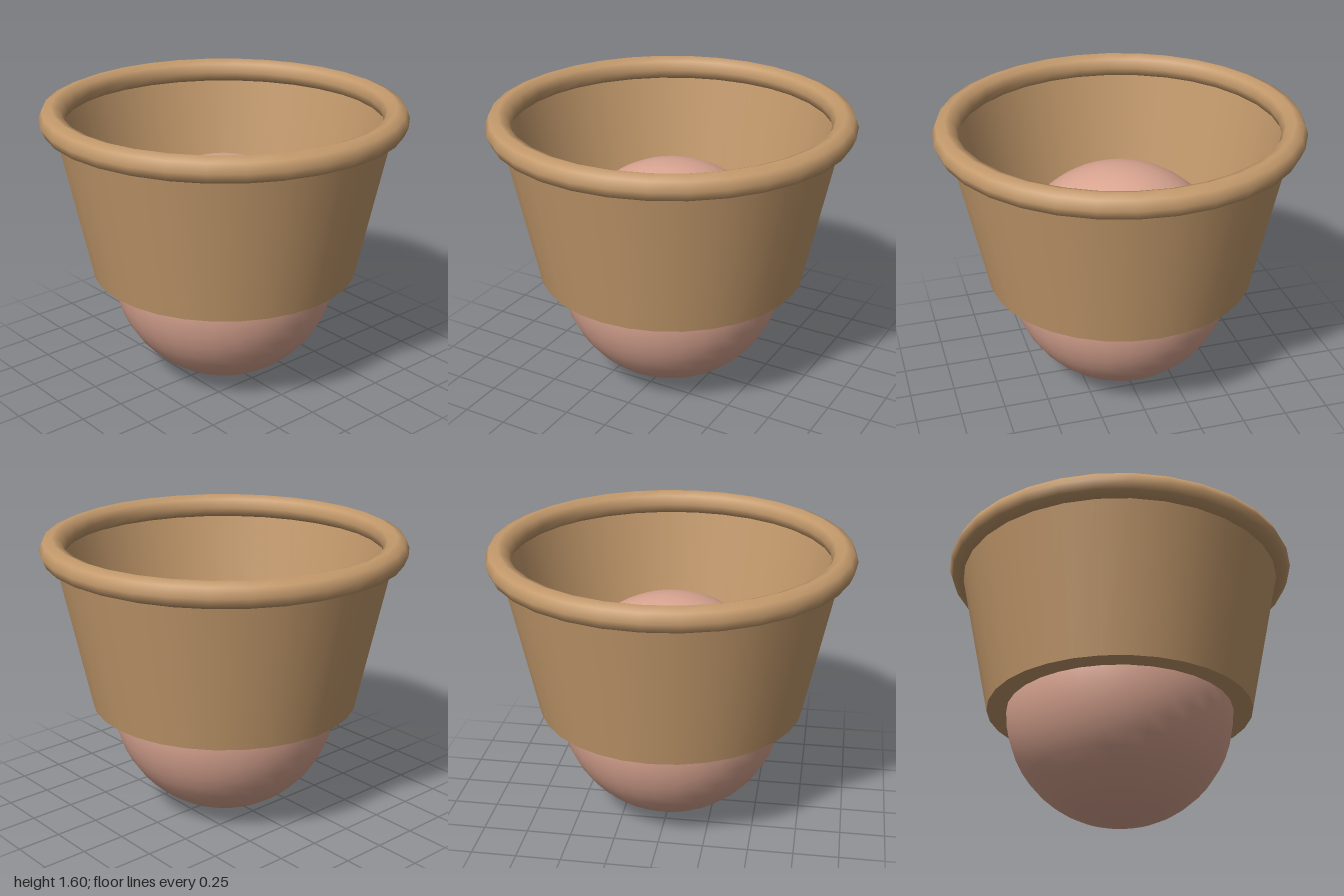
import * as THREE from 'three';

export function createModel() {
  const model = new THREE.Group();
  const tan = new THREE.MeshStandardMaterial({ color: 0xc49a6c, side: THREE.DoubleSide });
  tan.name = 'tan';
  const pink = new THREE.MeshStandardMaterial({ color: 0xdba692 });
  pink.name = 'pink';

  const add = (name, geometry, material, y) => {
    const mesh = new THREE.Mesh(geometry, material);
    mesh.name = name;
    mesh.position.y = y;
    model.add(mesh);
    return mesh;
  };

  const floorY = 0.64, rimY = 1.53, rimRadius = 0.93, floorRadius = 0.745;

  // Thin flared wall, open at the top
  const height = rimY - floorY;
  add('cupWall', new THREE.CylinderGeometry(rimRadius, floorRadius, height, 32, 1, true), tan, floorY + height / 2);

  // Flat floor, seen from inside and below
  add('cupFloor', new THREE.CircleGeometry(floorRadius, 32).rotateX(-Math.PI / 2), tan, floorY);

  // Rolled rim
  add('rim', new THREE.TorusGeometry(rimRadius, 0.07, 8, 32).rotateX(-Math.PI / 2), tan, rimY);

  // Ball set halfway through the floor
  add('ball', new THREE.SphereGeometry(0.635, 32, 24), pink, 0.635);

  return model;
}
